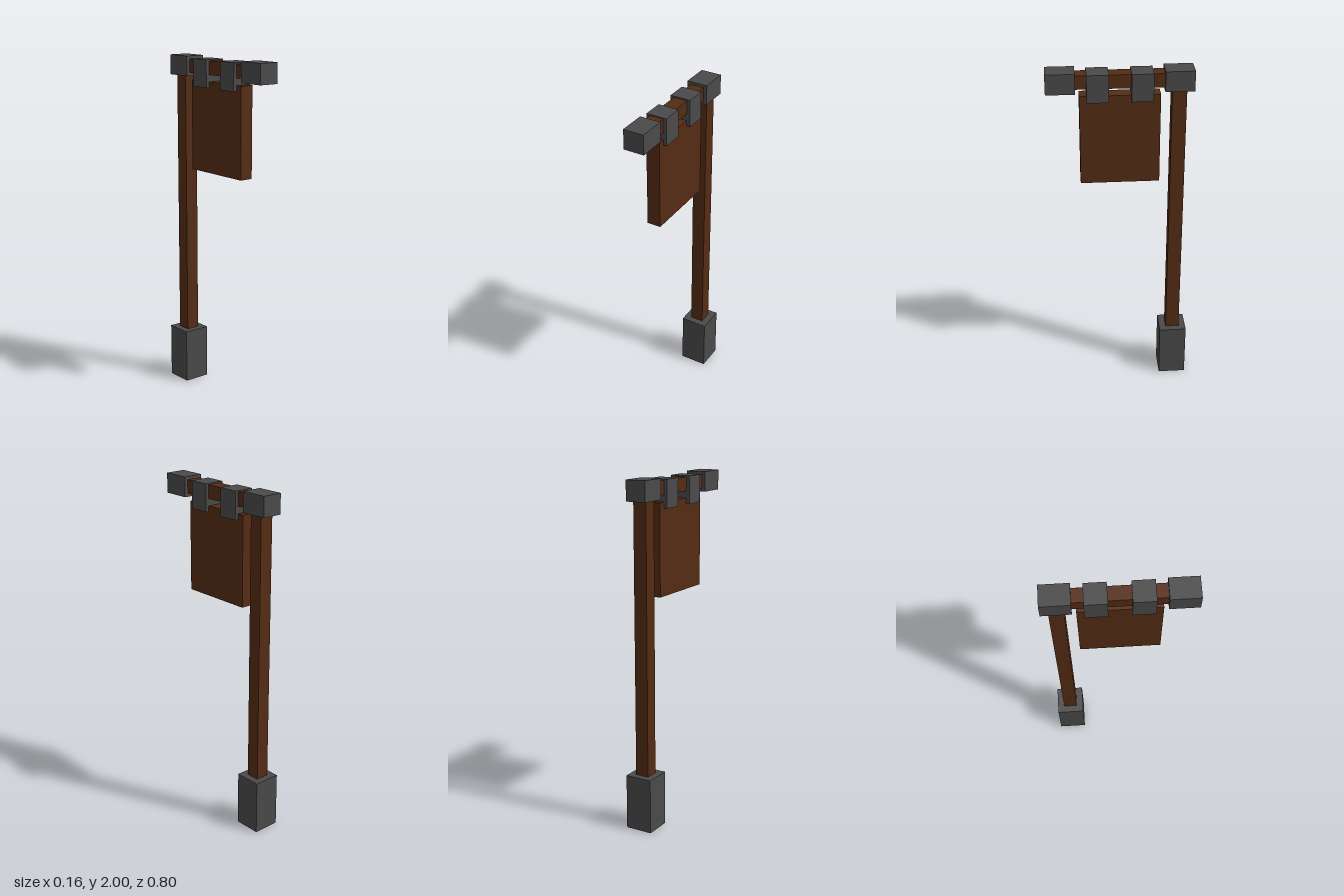
import * as THREE from 'three';

export function createModel() {
  const group = new THREE.Group();
  const wood = new THREE.MeshStandardMaterial({ color: 0x552c14 });
  const iron = new THREE.MeshStandardMaterial({ color: 0x4a4a4a });

  // Box centred on x = 0, spanning y0..y1 and z0..z1
  function addBox(name, material, width, y0, y1, z0, z1) {
    const mesh = new THREE.Mesh(new THREE.BoxGeometry(width, y1 - y0, z1 - z0), material);
    mesh.name = name;
    mesh.position.set(0, (y0 + y1) / 2, (z0 + z1) / 2);
    group.add(mesh);
  }

  // Upright with its footing
  addBox('base', iron, 0.16, 0, 0.322, -0.402, -0.242);
  addBox('post', wood, 0.08, 0.322, 1.885, -0.362, -0.282);

  // Crossbeam with a cap at each end
  addBox('beam', wood, 0.08, 1.905, 1.983, -0.242, 0.242);
  addBox('postCap', iron, 0.12, 1.885, 2, -0.402, -0.242);
  addBox('beamEndCap', iron, 0.12, 1.885, 2, 0.242, 0.402);

  // Hanging board and the two brackets that hold it
  addBox('signBoard', wood, 0.08, 1.342, 1.865, -0.221, 0.221);
  for (const [name, z] of [['backBracket', -0.121], ['frontBracket', 0.121]]) {
    addBox(name, iron, 0.12, 1.832, 1.99, z - 0.06, z + 0.06);
  }

  return group;
}
